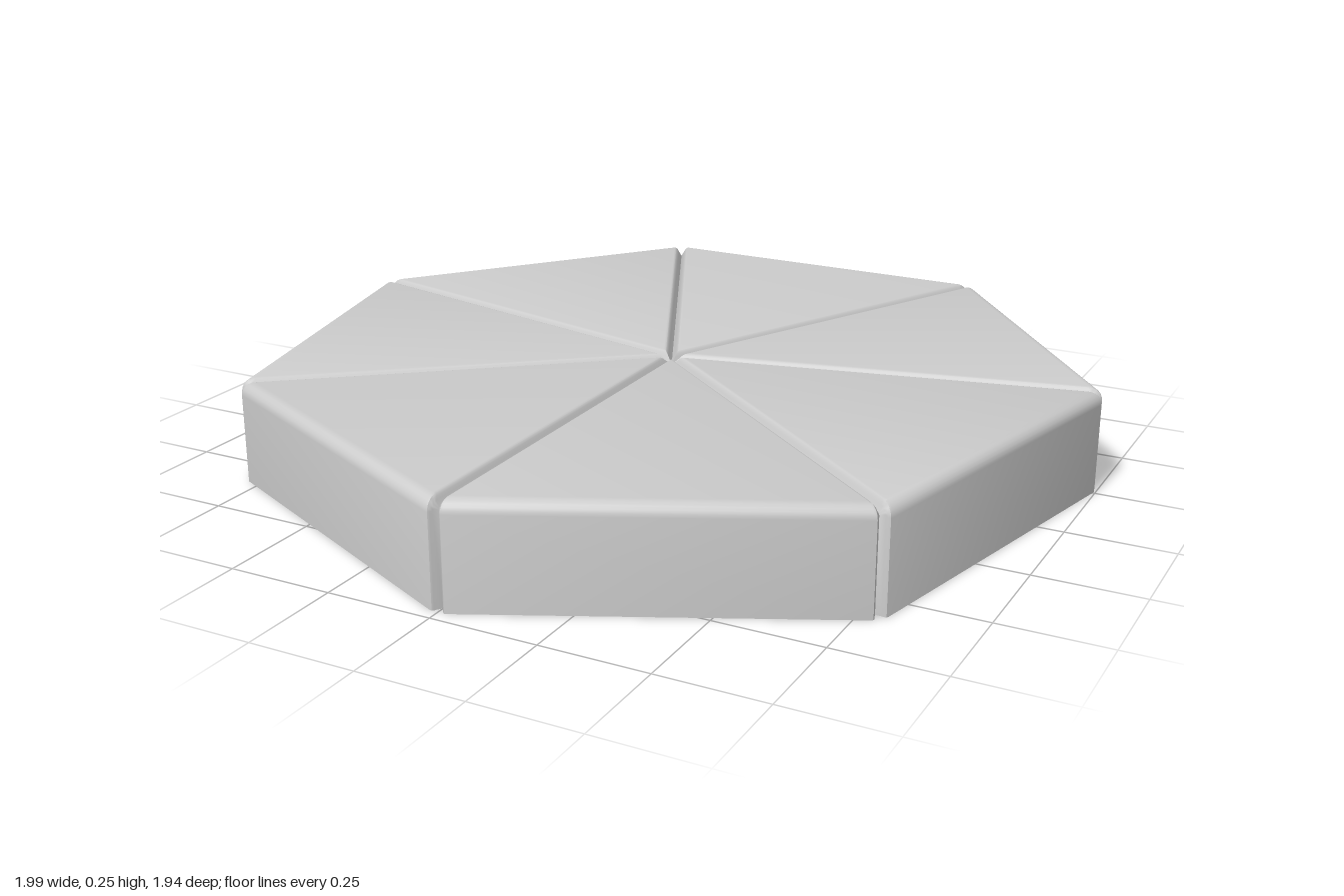
import * as THREE from 'three';
import { toCreasedNormals } from 'three/addons/utils/BufferGeometryUtils.js';

const SIDES = 7;
const HALF = Math.PI / SIDES;
const APOTHEM = 1.027 * Math.cos(HALF);
const HEIGHT = 0.245;
const ROUND = 0.03;

// Groove section at each seam: [distance from seam, depth below the surface]
const GROOVE = [[0, 0.026], [0.008, 0.012], [0.011, 0.006], [0.015, 0.0015], [0.02, 0]];

// Radial path over the panel, sunk by depth: centre, rounded rim, wall foot
function panelPath(inset, depth) {
  const path = [[inset / Math.sin(HALF), HEIGHT - depth]];
  const steps = 6;
  for (let i = 0; i <= steps; i++) {
    const t = (i / steps) * Math.PI / 2;
    path.push([
      APOTHEM - ROUND + (ROUND - depth) * Math.sin(t),
      HEIGHT - ROUND + (ROUND - depth) * Math.cos(t),
    ]);
  }
  path.push([APOTHEM - depth, 0]);
  return path;
}

// One open wedge: a grid of radial paths from the left seam to the right seam
function wedgeGeometry() {
  const columns = [
    ...GROOVE.map(([s, d]) => [s, d, -1]),
    ...GROOVE.slice().reverse().map(([s, d]) => [s, d, 1]),
  ];
  const positions = [];
  const index = [];
  let rows = 0;
  for (const [inset, depth, side] of columns) {
    const path = panelPath(inset, depth);
    rows = path.length;
    for (const [a, y] of path) {
      const halfWidth = Math.max(0, a * Math.tan(HALF) - inset / Math.cos(HALF));
      positions.push(side * halfWidth, y, a);
    }
  }
  for (let c = 0; c < columns.length - 1; c++) {
    for (let r = 0; r < rows - 1; r++) {
      const p = c * rows + r;
      const q = p + rows;
      index.push(p, p + 1, q + 1);
      if (r > 0 || c !== GROOVE.length - 1) index.push(p, q + 1, q);
    }
  }
  const geometry = new THREE.BufferGeometry();
  geometry.setAttribute('position', new THREE.Float32BufferAttribute(positions, 3));
  geometry.setIndex(index);
  return toCreasedNormals(geometry, 0.6);
}

export function createModel() {
  const model = new THREE.Group();
  model.name = 'heptagonalLid';
  const material = new THREE.MeshStandardMaterial({ color: 0xcccccc, side: THREE.DoubleSide });
  const geometry = wedgeGeometry();

  // Seven wedges around the centre, with a corner pointing to the front
  for (let i = 0; i < SIDES; i++) {
    const wedge = new THREE.Mesh(geometry, material);
    wedge.name = `wedgePanel${i + 1}`;
    wedge.rotation.y = HALF * (2 * i + 1);
    wedge.position.z = -0.048;
    model.add(wedge);
  }
  return model;
}
